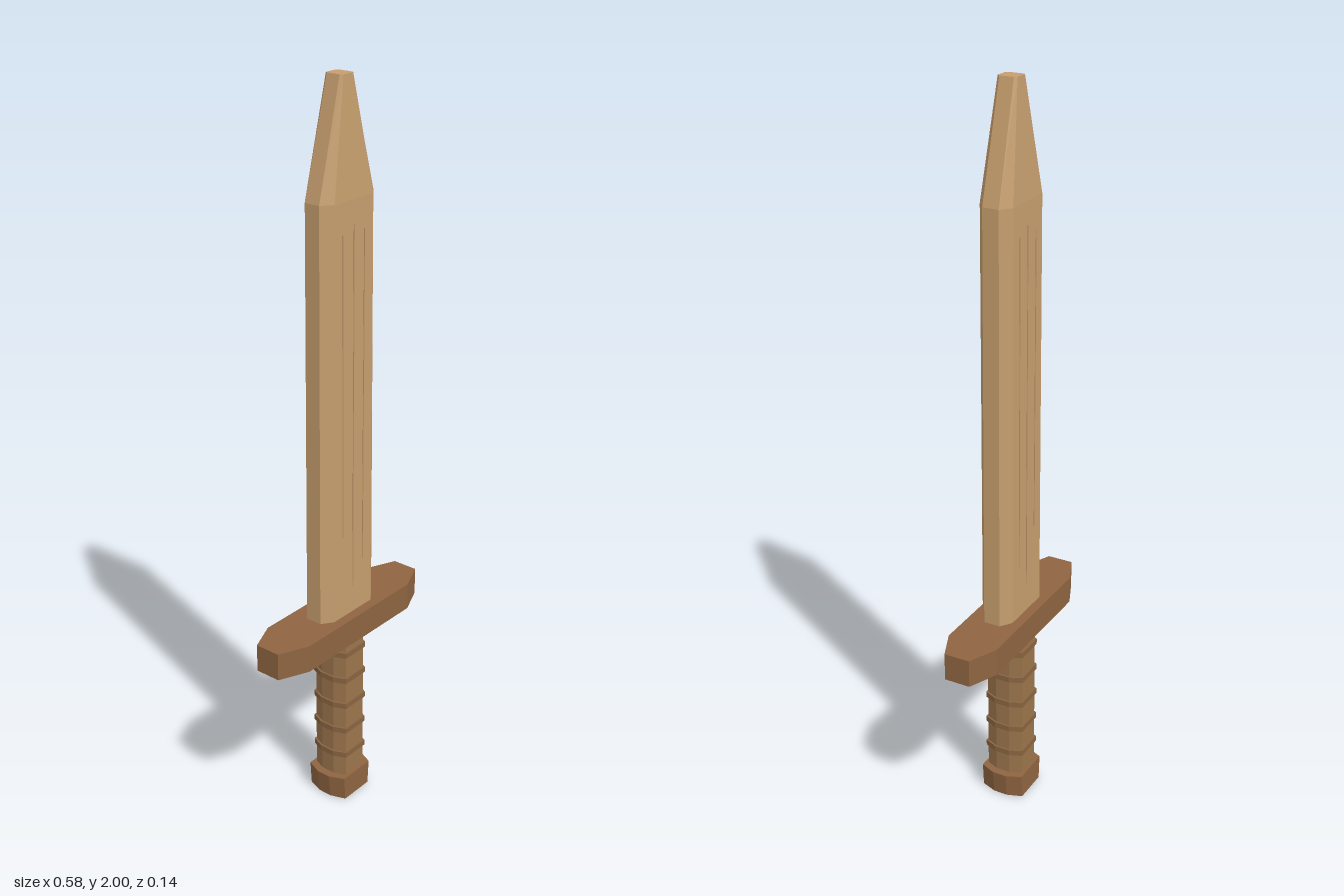
import * as THREE from 'three';

// Stretched octagon outline: corners (ax, bz) on the faces, (bx, az) on the edges
function octagon(ax, bx, az, bz) {
  return [[ax, bz], [bx, az], [bx, -az], [ax, -bz], [-ax, -bz], [-bx, -az], [-bx, az], [-ax, bz]];
}

// Capped loft through octagon sections [y, ax, bx, az, bz], listed bottom to top
function loft(name, material, sections) {
  const rings = sections.map(([y, ...o]) => octagon(...o).map(([x, z]) => [x, y, z]));
  const pos = [];
  const tri = (a, b, c) => pos.push(...a, ...b, ...c);
  for (let r = 0; r < rings.length - 1; r++) {
    const lo = rings[r], hi = rings[r + 1];
    for (let i = 0; i < 8; i++) {
      const j = (i + 1) % 8;
      tri(lo[i], lo[j], hi[j]);
      tri(lo[i], hi[j], hi[i]);
    }
  }
  const bottom = rings[0], top = rings[rings.length - 1];
  for (let i = 1; i < 7; i++) {
    tri(bottom[0], bottom[i + 1], bottom[i]);
    tri(top[0], top[i], top[i + 1]);
  }
  const geometry = new THREE.BufferGeometry();
  geometry.setAttribute('position', new THREE.Float32BufferAttribute(pos, 3));
  geometry.computeVertexNormals();
  const mesh = new THREE.Mesh(geometry, material);
  mesh.name = name;
  return mesh;
}

export function createModel() {
  const sword = new THREE.Group();
  sword.name = 'woodenSword';
  const wood = (color) => new THREE.MeshStandardMaterial({ color, flatShading: true });
  const paleWood = wood(0xc69e6e), grainWood = wood(0xb58d60);
  const darkWood = wood(0x8f6541), gripWood = wood(0x9c754c), bandWood = wood(0x8a6541);

  // Pommel, a little narrower at the foot
  sword.add(loft('pommel', darkWood, [
    [0, 0.05, 0.065, 0.02, 0.062],
    [0.07, 0.055, 0.073, 0.02, 0.062],
  ]));

  // Grip with five raised bands
  sword.add(loft('grip', gripWood, [
    [0.06, 0.037, 0.051, 0.02, 0.053],
    [0.52, 0.037, 0.051, 0.02, 0.053],
  ]));
  for (let i = 0; i < 5; i++) {
    const y = 0.14 + i * 0.081;
    sword.add(loft('gripBand', bandWood, [
      [y - 0.008, 0.041, 0.056, 0.022, 0.057],
      [y + 0.008, 0.041, 0.056, 0.022, 0.057],
    ]));
  }

  // Crossguard
  sword.add(loft('crossguard', darkWood, [
    [0.506, 0.21, 0.292, 0.036, 0.072],
    [0.583, 0.21, 0.292, 0.036, 0.072],
  ]));

  // Blade with bevelled edges and a blunt tip
  sword.add(loft('blade', paleWood, [
    [0.57, 0.077, 0.108, 0.023, 0.045],
    [1.71, 0.073, 0.102, 0.022, 0.045],
    [2, 0.018, 0.023, 0.019, 0.026],
  ]));

  // Thin grain lines on both faces of the blade: x, bottom, top
  for (const [x, y0, y1] of [[-0.042, 0.82, 1.63], [0, 0.66, 1.65], [0.04, 0.73, 1.63]]) {
    for (const side of [-1, 1]) {
      const grain = new THREE.Mesh(new THREE.BoxGeometry(0.003, y1 - y0, 0.002), grainWood);
      grain.position.set(x, (y0 + y1) / 2, side * 0.0448);
      grain.name = 'bladeGrain';
      sword.add(grain);
    }
  }
  return sword;
}
